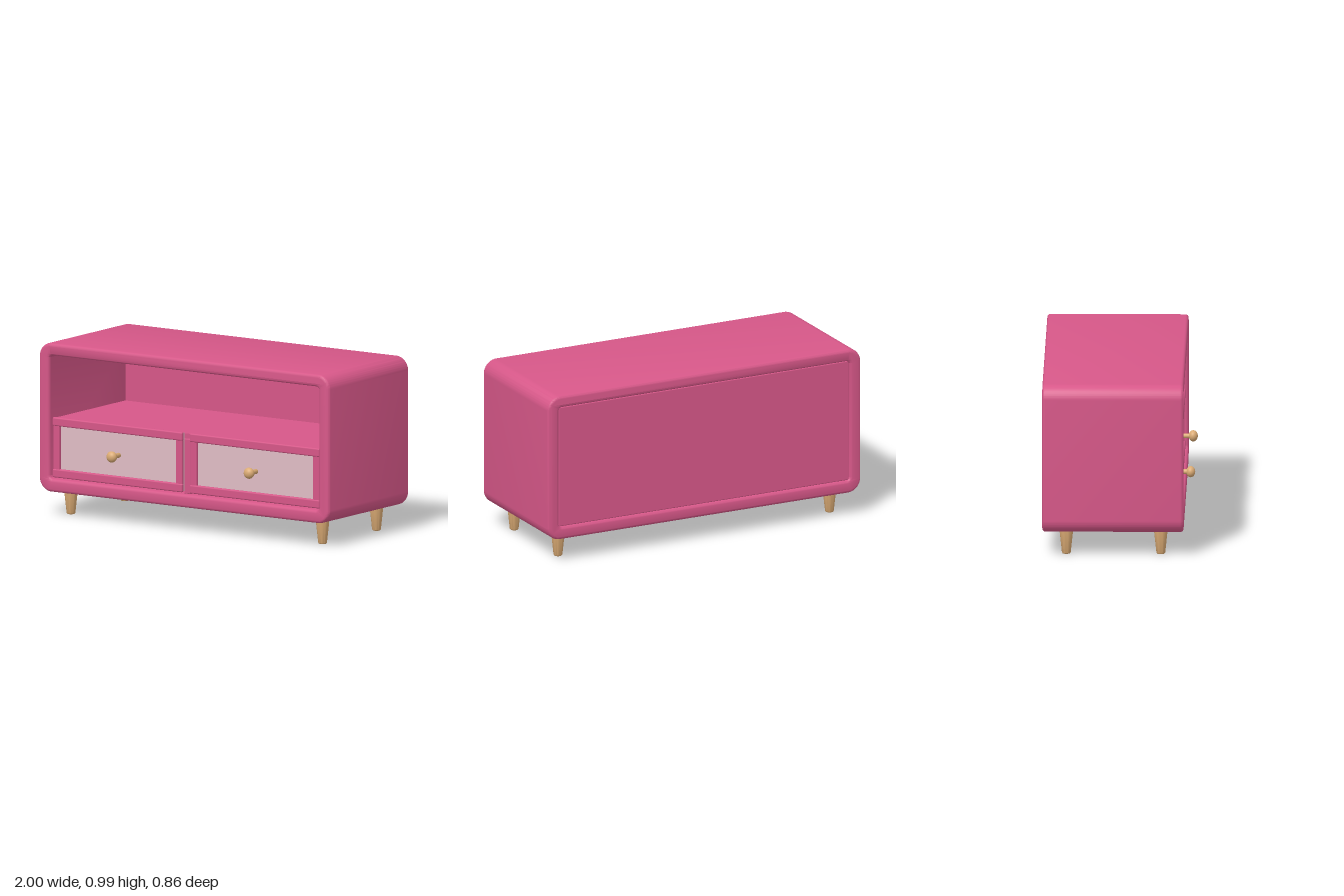
import * as THREE from 'three';
import { toCreasedNormals } from 'three/addons/utils/BufferGeometryUtils.js';
import { RoundedBoxGeometry } from 'three/addons/geometries/RoundedBoxGeometry.js';

function material(name, color) {
  const m = new THREE.MeshStandardMaterial({ color });
  m.name = name;
  return m;
}

// Rounded rectangle traced counter-clockwise
function roundedRect(path, x0, y0, x1, y1, r) {
  path.moveTo(x0 + r, y0);
  path.lineTo(x1 - r, y0);
  path.absarc(x1 - r, y0 + r, r, -Math.PI / 2, 0);
  path.lineTo(x1, y1 - r);
  path.absarc(x1 - r, y1 - r, r, 0, Math.PI / 2);
  path.lineTo(x0 + r, y1);
  path.absarc(x0 + r, y1 - r, r, Math.PI / 2, Math.PI);
  path.lineTo(x0, y0 + r);
  path.absarc(x0 + r, y0 + r, r, Math.PI, Math.PI * 1.5);
  return path;
}

export function createModel() {
  const pink = material('pink paint', 0xd65788);
  const pale = material('pale pink panel', 0xe0bdc5);
  const wood = material('light wood', 0xdbab74);
  const model = new THREE.Group();
  model.name = 'cabinet';

  function add(parent, name, geometry, mat, x = 0, y = 0, z = 0) {
    const mesh = new THREE.Mesh(geometry, mat);
    mesh.name = name;
    mesh.position.set(x, y, z);
    parent.add(mesh);
    return mesh;
  }

  // Box given by its limits, with softened edges when r > 0
  function box(parent, name, mat, [x0, x1], [y0, y1], [z0, z1], r = 0) {
    const size = [x1 - x0, y1 - y0, z1 - z0];
    const geometry = r ? new RoundedBoxGeometry(...size, 3, r) : new THREE.BoxGeometry(...size);
    return add(parent, name, geometry, mat, (x0 + x1) / 2, (y0 + y1) / 2, (z0 + z1) / 2);
  }

  // Outer shell: rounded tube with soft front and back rims
  const bevel = 0.018;
  const outline = roundedRect(new THREE.Shape(), -1, 0.138, 1, 0.992, 0.08);
  outline.holes.push(roundedRect(new THREE.Path(), -0.927, 0.213, 0.927, 0.922, 0.02));
  const shell = new THREE.ExtrudeGeometry(outline, {
    depth: 0.8 - 2 * bevel, bevelEnabled: true, bevelSize: bevel, bevelThickness: bevel,
    bevelOffset: -bevel, bevelSegments: 4, curveSegments: 10,
  });
  add(model, 'shell', toCreasedNormals(shell, 0.6), pink, 0, 0, -0.43 + bevel);

  // Inner boards
  box(model, 'backPanel', pink, [-0.927, 0.927], [0.213, 0.922], [-0.418, -0.385], 0.006);
  box(model, 'shelf', pink, [-0.927, 0.927], [0.528, 0.556], [-0.39, 0.318]);
  box(model, 'divider', pink, [-0.022, 0.022], [0.213, 0.528], [-0.39, 0.335], 0.004);

  // Knob profile, turned around the z axis
  const knobProfile = [[0, 0], [0.014, 0], [0.014, 0.05]];
  for (let i = 1; i <= 14; i++) {
    const a = -Math.PI / 2 + 0.45 + (Math.PI - 0.45) * (i / 14);
    knobProfile.push([Math.max(0, 0.032 * Math.cos(a)), 0.073 + 0.026 * Math.sin(a)]);
  }
  const knob = new THREE.LatheGeometry(knobProfile.map(([r, h]) => new THREE.Vector2(r, h)), 28);
  knob.rotateX(Math.PI / 2);

  // Two framed drawers
  for (const side of [-1, 1]) {
    const drawer = new THREE.Group();
    drawer.name = side > 0 ? 'leftDrawer' : 'rightDrawer';
    model.add(drawer);
    const span = (a, b) => (side > 0 ? [a, b] : [-b, -a]);
    box(drawer, 'drawerBoard', pale, span(0.03, 0.915), [0.225, 0.56], [0.318, 0.332]);
    box(drawer, 'topRail', pink, span(0.026, 0.919), [0.516, 0.565], [0.328, 0.352], 0.008);
    box(drawer, 'bottomRail', pink, span(0.026, 0.919), [0.22, 0.269], [0.328, 0.352], 0.008);
    box(drawer, 'innerStile', pink, span(0.028, 0.072), [0.262, 0.522], [0.328, 0.348], 0.006);
    box(drawer, 'outerStile', pink, span(0.873, 0.917), [0.262, 0.522], [0.328, 0.348], 0.006);
    add(drawer, 'knob', knob, wood, side * 0.473, 0.388, 0.33);
  }

  // Tapered legs with a softened foot
  const legProfile = [[0, 0], [0.021, 0], [0.025, 0.005], [0.04, 0.145], [0, 0.145]];
  const leg = toCreasedNormals(
    new THREE.LatheGeometry(legProfile.map(([r, h]) => new THREE.Vector2(r, h)), 28), 0.6);
  for (const x of [-0.867, 0.867]) {
    for (const z of [0.24, -0.295]) {
      add(model, z > 0 ? 'frontLeg' : 'backLeg', leg, wood, x, 0, z);
    }
  }
  return model;
}
